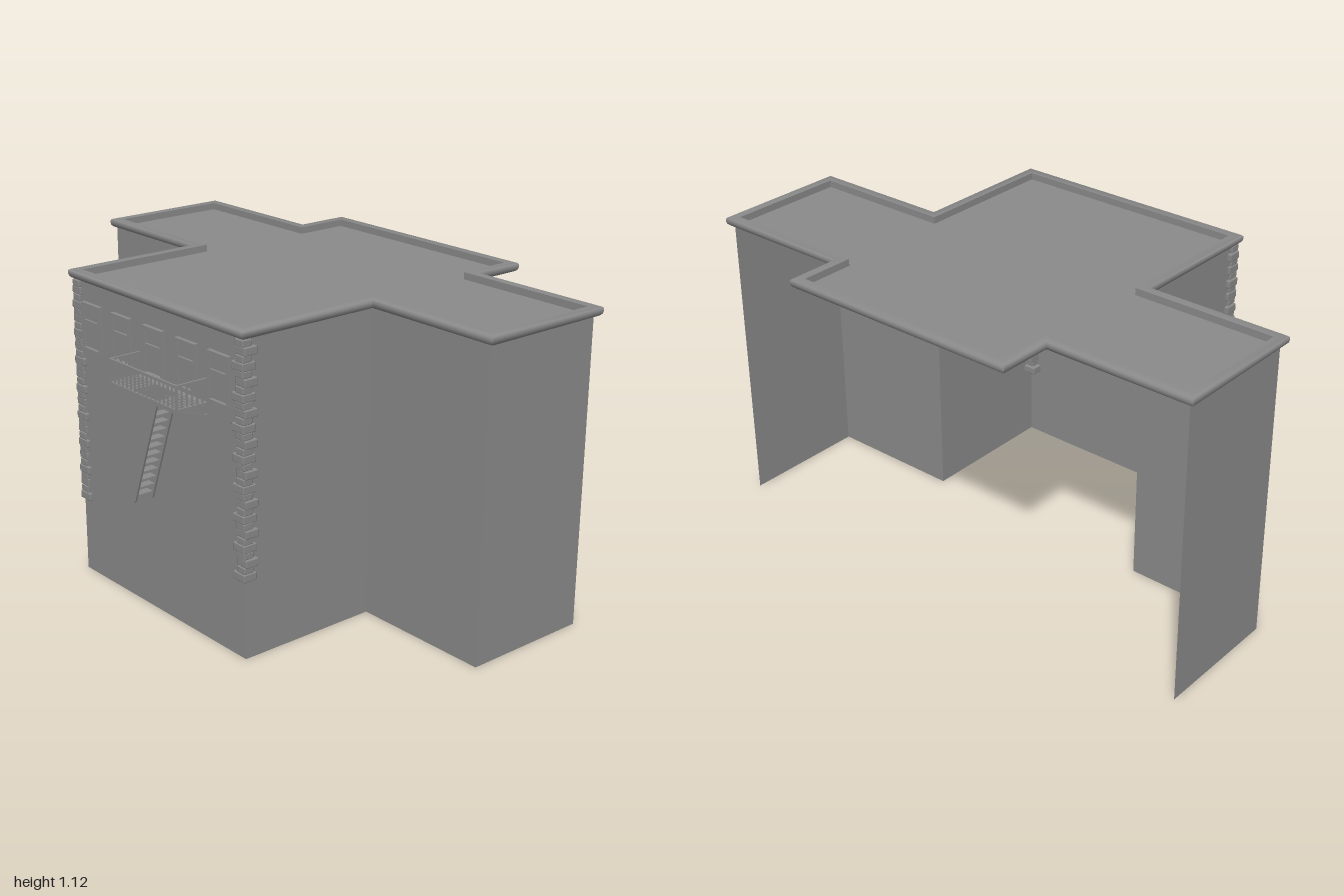
import * as THREE from 'three';
import { toCreasedNormals } from 'three/addons/utils/BufferGeometryUtils.js';
import { RoundedBoxGeometry } from 'three/addons/geometries/RoundedBoxGeometry.js';

const stoneGrey = new THREE.MeshStandardMaterial({ color: 0x8a8a8a, side: THREE.DoubleSide });
const WALL_Z = 0.55;
const ROOF_Y = 1.093;

function add(parent, name, geometry) {
  const mesh = new THREE.Mesh(geometry, stoneGrey);
  mesh.name = name;
  parent.add(mesh);
  return mesh;
}

function group(parent, name) {
  const g = new THREE.Group();
  g.name = name;
  parent.add(g);
  return g;
}

// Box given by its minimum and maximum corners
function box(parent, name, x0, x1, y0, y1, z0, z1) {
  const mesh = add(parent, name, new THREE.BoxGeometry(x1 - x0, y1 - y0, z1 - z0));
  mesh.position.set((x0 + x1) / 2, (y0 + y1) / 2, (z0 + z1) / 2);
  return mesh;
}

// Outer plan of the roof edge as [x, z]
const half = [[1, -0.475], [1, 0.035], [0.477, 0.035], [0.477, 0.568]];
const plan = [
  ...half,
  ...half.map(([x, z]) => [-x, z]).reverse(),
  [-0.46, -0.475], [-0.46, -0.673], [0.46, -0.673], [0.46, -0.475],
];

// Plan moved inwards by d with mitred corners
function inset(d) {
  const n = plan.length;
  const inward = (i) => {
    const [ax, az] = plan[(i + n) % n];
    const [bx, bz] = plan[(i + 1) % n];
    return [-Math.sign(bz - az), Math.sign(bx - ax)];
  };
  return plan.map(([x, z], i) => {
    const p = inward(i - 1), q = inward(i);
    return [x + d * (p[0] + q[0]), z + d * (p[1] + q[1])];
  });
}

// Thin outer walls, open at the back and underneath
function buildWalls(root) {
  const walls = group(root, 'walls');
  const line = [[0.976, -0.455], [0.976, 0.02], [0.458, 0.02], [0.458, WALL_Z],
    [-0.458, WALL_Z], [-0.458, 0.02], [-0.976, 0.02], [-0.976, -0.455]];
  for (let i = 0; i < line.length - 1; i++) {
    const [ax, az] = line[i], [bx, bz] = line[i + 1];
    const dx = bx - ax, dz = bz - az;
    const wall = add(walls, 'wall', new THREE.PlaneGeometry(Math.hypot(dx, dz), ROOF_Y));
    wall.position.set((ax + bx) / 2, ROOF_Y / 2, (az + bz) / 2);
    wall.rotation.y = Math.atan2(dz, -dx);
  }
}

// Flat roof and the rounded moulding swept round its edge
function buildRoof(root) {
  const shape = new THREE.Shape(inset(0.02).map(([x, z]) => new THREE.Vector2(x, -z)));
  const slab = add(root, 'roof', new THREE.ShapeGeometry(shape));
  slab.rotation.x = -Math.PI / 2;
  slab.position.y = ROOF_Y;

  const profile = [[0.037, 1.09], [0.018, 1.087], [0.009, 1.089], [0.003, 1.095],
    [0, 1.105], [0.001, 1.114], [0.005, 1.118], [0.037, 1.118]];
  const rings = profile.map(([d, y]) => inset(d).map(([x, z]) => [x, y, z]));
  const pos = [];
  for (let k = 0; k < rings.length; k++) {
    const lo = rings[k], hi = rings[(k + 1) % rings.length];
    for (let i = 0; i < plan.length; i++) {
      const j = (i + 1) % plan.length;
      pos.push(...lo[i], ...hi[i], ...hi[j], ...lo[i], ...hi[j], ...lo[j]);
    }
  }
  const rim = new THREE.BufferGeometry();
  rim.setAttribute('position', new THREE.Float32BufferAttribute(pos, 3));
  add(root, 'roofMoulding', toCreasedNormals(rim, 0.8));
}

// Corner stones alternating between the two faces
function buildQuoins(root, side) {
  const quoins = group(root, side > 0 ? 'leftQuoins' : 'rightQuoins');
  const pitch = 0.0505;
  const stone = (x0, x1, z0, z1, y, h) => {
    const m = add(quoins, 'cornerStone', new RoundedBoxGeometry(x1 - x0, h, z1 - z0, 1, 0.004));
    m.position.set(side * (x0 + x1) / 2, y, (z0 + z1) / 2);
  };
  for (let i = 0; i < 16; i++) {
    const y = 0.291 + i * pitch;
    if (i % 2) stone(0.422, 0.473, 0.505, 0.556, y, 0.028);
    else stone(0.41, 0.468, 0.509, 0.562, y, 0.028);
    stone(0.425, 0.466, 0.521, 0.559, y + pitch / 2, 0.024);
  }
}

// Two-sash window frame
function buildWindow(root, x) {
  const win = group(root, 'window');
  const w = 0.053, y0 = 0.848, y1 = 1.018, t = 0.011, z = WALL_Z - 0.001;
  for (const s of [-1, 1]) {
    const c = x + s * (w - t / 2);
    box(win, 'windowJamb', c - t / 2, c + t / 2, y0, y1, z, 0.565);
  }
  box(win, 'windowHead', x - w, x + w, y1 - t, y1, z, 0.565);
  box(win, 'windowSill', x - w, x + w, y0, y0 + t, z, 0.566);
  box(win, 'windowRail', x - w, x + w, 0.944, 0.957, z, 0.562);
  box(win, 'windowPane', x - w + t, x + w - t, y0 + t, y1 - t, 0.551, 0.554);
}

// Slatted balcony with railing and brackets
function buildBalcony(root) {
  const b = group(root, 'balcony');
  const x0 = -0.089, x1 = 0.277, z0 = WALL_Z + 0.002, z1 = 0.673, y0 = 0.822, y1 = 0.837;
  const h0 = 0.027, h1 = 0.167, t = 0.008, top = 0.917;

  // Deck frame and slats either side of the stair opening
  box(b, 'deckFront', x0, x1, y0, y1, z1 - t, z1);
  box(b, 'deckBack', x0, x1, y0, y1, z0, z0 + 0.022);
  for (const x of [x0, h0 - t, h1, x1 - t]) box(b, 'deckBeam', x, x + t, y0, y1, z0, z1);
  for (let i = 0; i < 6; i++) {
    const z = 0.579 + i * 0.015;
    box(b, 'deckSlat', x0, h0, y1 - 0.006, y1, z, z + 0.008);
    box(b, 'deckSlat', h1, x1, y1 - 0.006, y1, z, z + 0.008);
  }

  // Top rail and balusters on the front and both ends
  box(b, 'frontRail', x0, x1, top - 0.006, top, z1 - 0.007, z1);
  for (const x of [x0, x1 - 0.007]) box(b, 'endRail', x, x + 0.007, top - 0.006, top, z0, z1);
  const baluster = (x, z, r) => box(b, 'baluster', x - r, x + r, y1, top, z - r, z + r);
  const count = 16;
  for (let i = 0; i <= count; i++) {
    const end = i === 0 || i === count;
    baluster(x0 + 0.004 + (x1 - x0 - 0.008) * i / count, z1 - 0.004, end ? 0.004 : 0.0025);
  }
  for (const x of [x0 + 0.004, x1 - 0.004]) {
    for (let i = 1; i < 6; i++) baluster(x, z1 - 0.004 - i * 0.02, 0.0025);
    // Diagonal bracket back to the wall
    const strut = box(b, 'bracket', x - 0.003, x + 0.003, 0.803, 0.808, 0.551, 0.637);
    strut.rotation.x = -0.37;
    box(b, 'bracketFoot', x - 0.005, x + 0.005, 0.784, 0.797, z0, z0 + 0.006);
  }
}

// Steep stair hanging from the balcony
function buildStair(root) {
  const stair = group(root, 'stair');
  const plate = (name, points, z, depth) => {
    const s = new THREE.Shape(points.map(([x, y]) => new THREE.Vector2(x, y)));
    const g = new THREE.ExtrudeGeometry(s, { depth, bevelEnabled: false });
    add(stair, name, g).position.z = z;
  };
  const outline = [[0.112, 0.825], [0.165, 0.825], [0.026, 0.445], [0.016, 0.438],
    [-0.006, 0.455], [-0.015, 0.475], [-0.012, 0.494]];
  const edge = [[0.157, 0.825], [0.165, 0.825], [0.026, 0.445], [0.018, 0.445]];
  for (const z of [0.591, 0.661]) {
    plate('stringer', outline, z, 0.005);
    plate('stringerEdge', edge, z - 0.001, 0.007);
  }
  for (let i = 0; i < 12; i++) {
    const y = 0.465 + i * 0.031;
    const x = 0.01 + (y - 0.465) * 0.363;
    box(stair, 'tread', x - 0.017, x + 0.017, y - 0.002, y + 0.002, 0.593, 0.664);
  }
}

export function createModel() {
  const root = new THREE.Group();
  root.name = 'building';
  buildWalls(root);
  buildRoof(root);
  for (const side of [-1, 1]) buildQuoins(root, side);
  for (const x of [-0.355, -0.18, 0.001, 0.178, 0.346]) buildWindow(root, x);
  buildBalcony(root);
  buildStair(root);
  return root;
}
